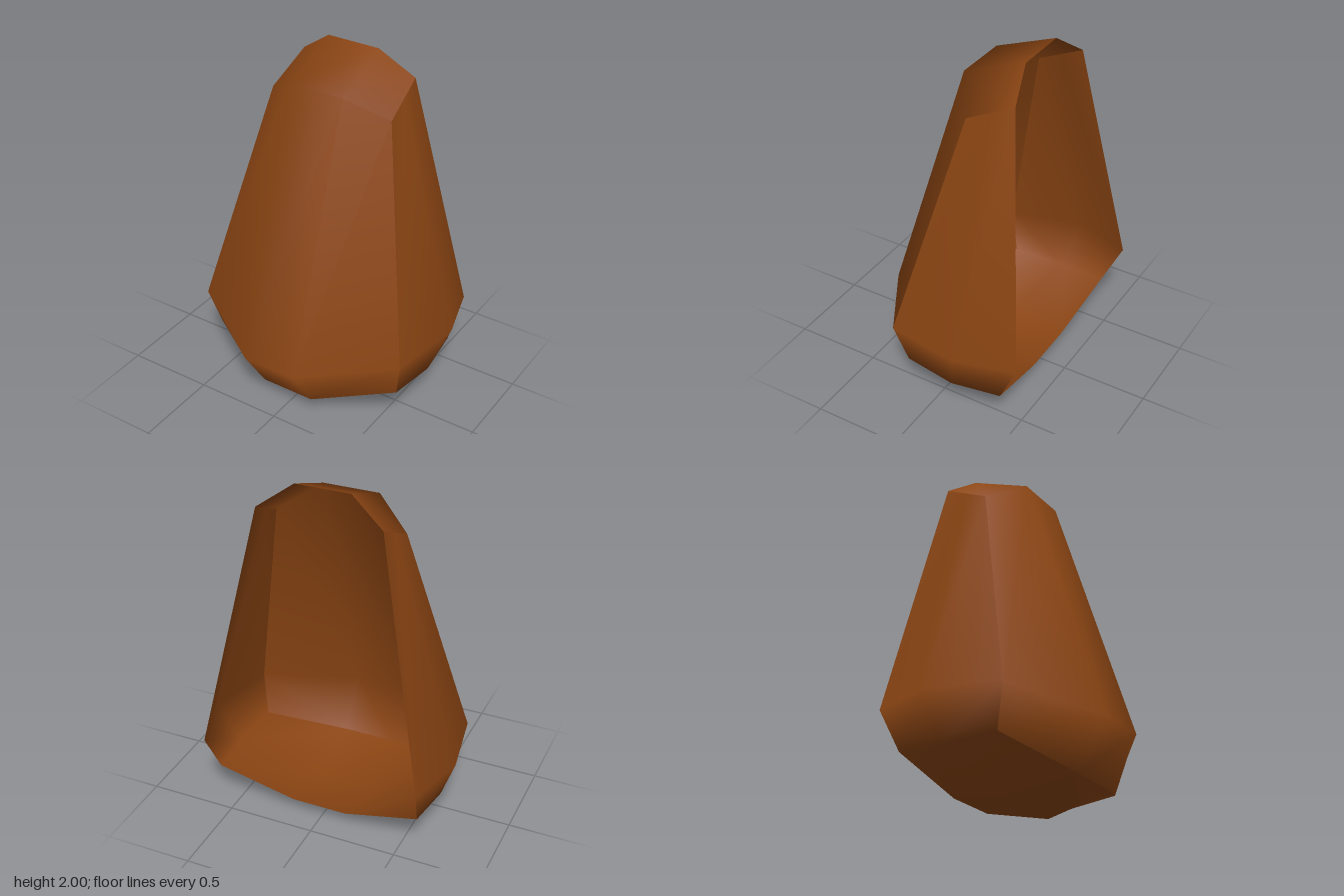
import * as THREE from 'three';

// Smooth surface through a grid of points (rows run down, columns run to the right)
function sheet(name, rows, material) {
  const cols = rows[0].length;
  const index = [];
  for (let r = 0; r < rows.length - 1; r++) {
    for (let c = 0; c < cols - 1; c++) {
      const a = r * cols + c, b = a + cols;
      index.push(a, b, a + 1, a + 1, b, b + 1);
    }
  }
  const geometry = new THREE.BufferGeometry();
  geometry.setAttribute('position', new THREE.Float32BufferAttribute(rows.flat(2), 3));
  geometry.setIndex(index);
  geometry.computeVertexNormals();
  const mesh = new THREE.Mesh(geometry, material);
  mesh.name = name;
  return mesh;
}

const mirror = ([x, y, z]) => [-x, y, z];

export function createModel() {
  const group = new THREE.Group();
  group.name = 'hollowShell';
  const brown = new THREE.MeshStandardMaterial({ color: 0x8b4513, side: THREE.DoubleSide });
  brown.name = 'saddle brown';

  // Crease between the front and the side band, from top to bottom
  const shoulder = [0.35, 1.86, -0.35];
  const crease = [
    shoulder,
    [0.37, 1.73, -0.08],
    [0.65, 0.45, 0.23],
    [0.60, 0.22, 0.17],
    [0.16, 0.10, 0.36],
  ];

  // Front: two middle columns between the left and right creases
  const middle = [
    [0.155, 2.0, -0.295],
    [0.16, 1.86, 0.06],
    [0.16, 0.37, 0.535],
    crease[4],
  ];
  const frontRows = middle.map((m, i) => [mirror(crease[i]), mirror(m), m, crease[i]]);
  group.add(sheet('frontShell', frontRows, brown));

  // Sides and underside: one band from shoulder to shoulder (crease, widest line, back rim)
  const half = [
    [crease[1], [0.36, 1.795, -0.215], shoulder],
    [crease[2], [0.73, 0.47, -0.20], [0.63, 0.46, -0.535]],
    [crease[3], [0.63, 0.20, -0.13], [0.60, 0.22, -0.42]],
    [crease[4], [0.16, 0.0, 0.0], [0.16, 0.09, -0.385]],
  ];
  const otherHalf = half.map((row) => row.map(mirror)).reverse();
  group.add(sheet('sideAndBottomBand', [...half, ...otherHalf], brown));

  return group;
}
